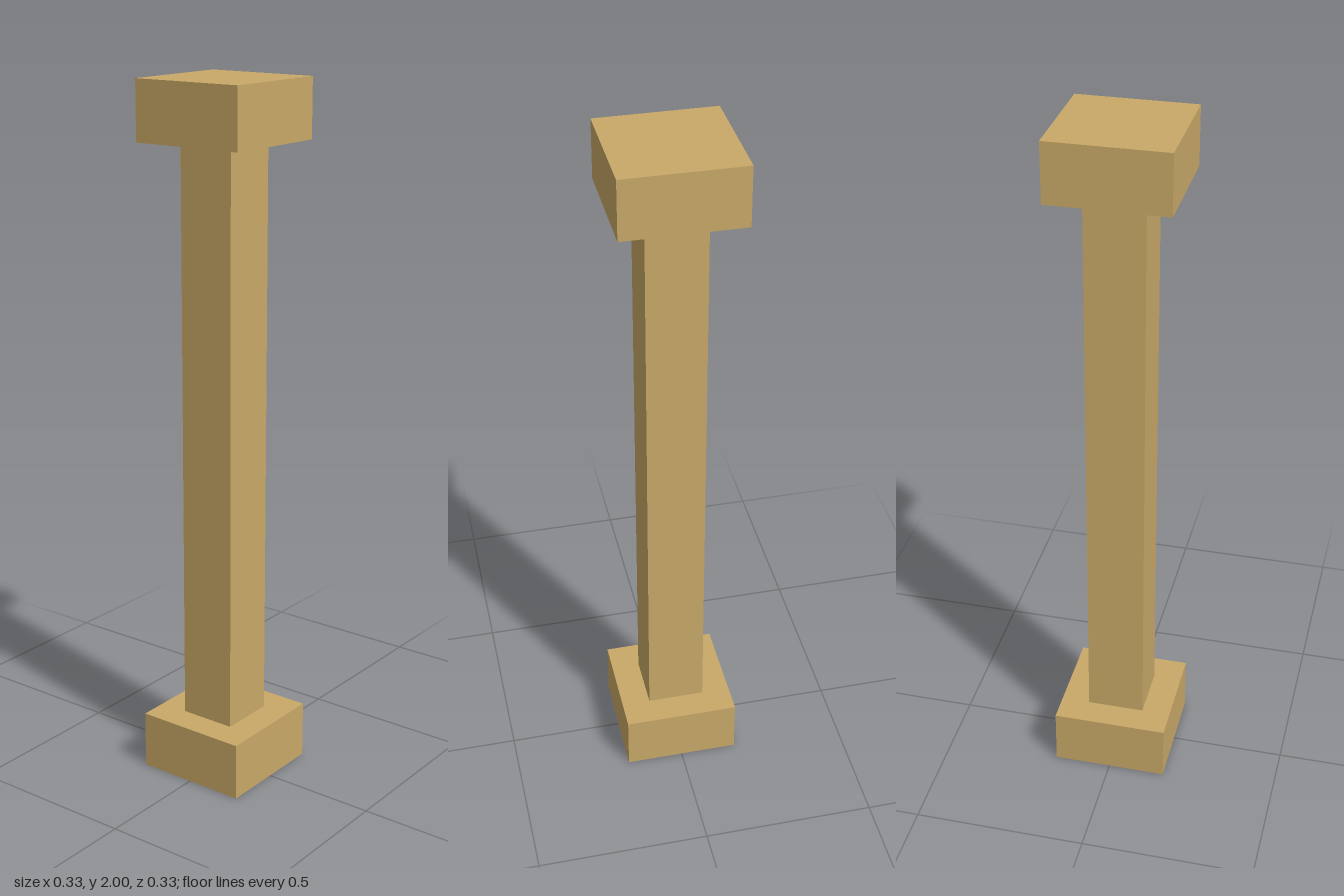
import * as THREE from 'three';

const HEIGHT = 2;
const BLOCK_WIDTH = 1 / 3;
const BLOCK_HEIGHT = 1 / 6;
const SHAFT_WIDTH = 1 / 6;

export function createModel() {
  const column = new THREE.Group();
  column.name = 'column';
  const material = new THREE.MeshStandardMaterial({ color: 0xc9a968 });

  // Square block centred on the axis, standing at the given height
  const addBlock = (name, width, height, bottom) => {
    const mesh = new THREE.Mesh(new THREE.BoxGeometry(width, height, width), material);
    mesh.name = name;
    mesh.position.y = bottom + height / 2;
    column.add(mesh);
  };

  addBlock('base', BLOCK_WIDTH, BLOCK_HEIGHT, 0);
  addBlock('shaft', SHAFT_WIDTH, HEIGHT - 2 * BLOCK_HEIGHT, BLOCK_HEIGHT);
  addBlock('capital', BLOCK_WIDTH, BLOCK_HEIGHT, HEIGHT - BLOCK_HEIGHT);

  return column;
}
